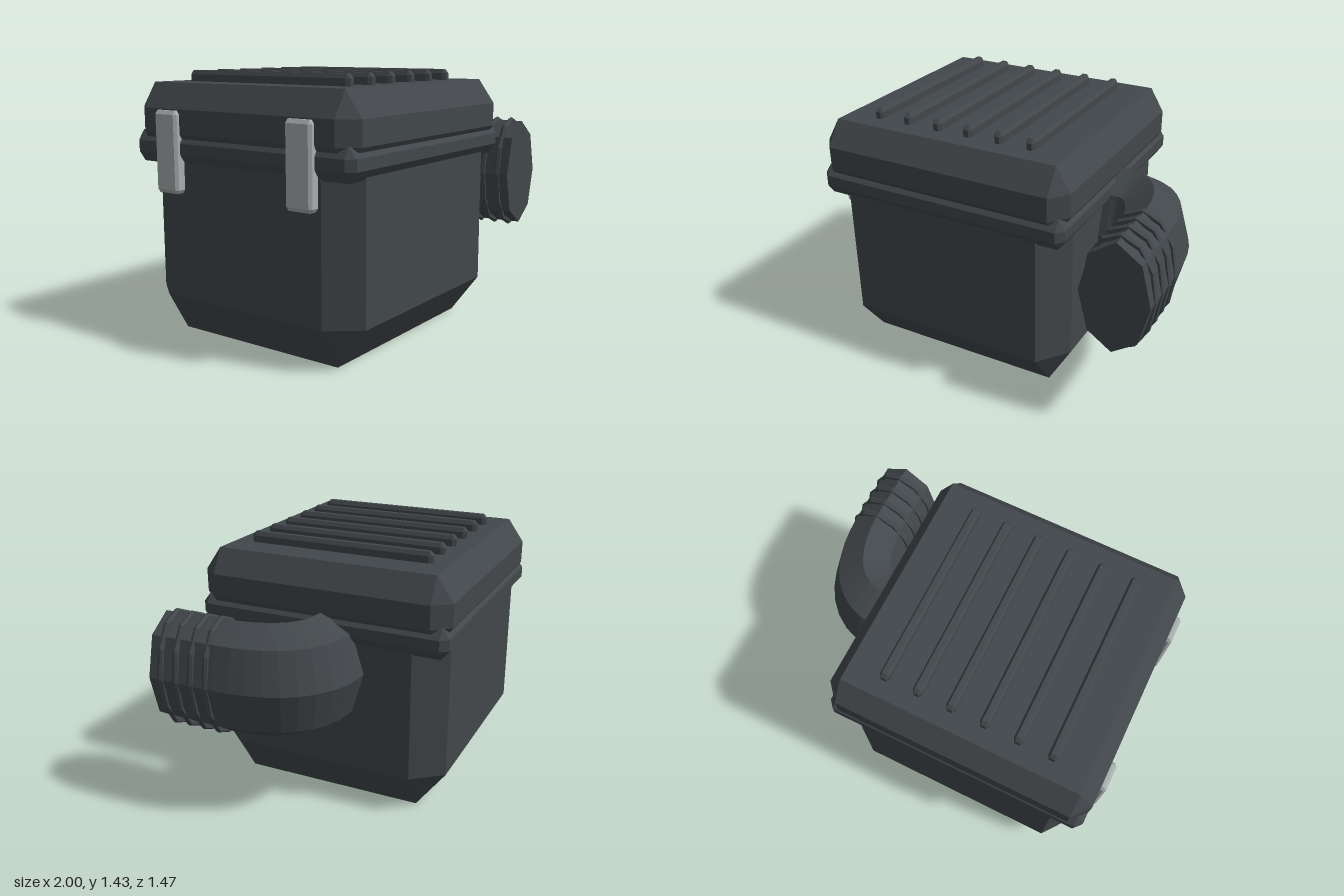
import * as THREE from 'three';
import { ConvexGeometry } from 'three/addons/geometries/ConvexGeometry.js';

const plastic = new THREE.MeshStandardMaterial({ name: 'darkPlastic', color: 0x42474b, flatShading: true });
const metal = new THREE.MeshStandardMaterial({ name: 'latchMetal', color: 0xa8adad, flatShading: true });

// Box between min and max with every edge cut off by bevel [x, y, z]
function chamferBox(name, min, max, bevel, material) {
  const c = min.map((v, i) => (v + max[i]) / 2);
  const h = min.map((v, i) => (max[i] - v) / 2);
  const points = [];
  for (const sx of [-1, 1]) for (const sy of [-1, 1]) for (const sz of [-1, 1]) {
    const s = [sx, sy, sz];
    for (let face = 0; face < 3; face++) {
      const p = s.map((sign, i) => c[i] + sign * (h[i] - (i === face ? 0 : bevel[i])));
      points.push(new THREE.Vector3(...p));
    }
  }
  const mesh = new THREE.Mesh(new ConvexGeometry(points), material);
  mesh.name = name;
  return mesh;
}

// Eight-sided oval hose swept along a bend and a straight outlet
function hoseGeometry() {
  const sides = 8, y = 0.797, rings = [];
  const addRing = (x, z, tx, tz, r, ry) => {
    const ring = [];
    for (let j = 0; j < sides; j++) {
      const a = (j / sides) * Math.PI * 2;
      ring.push([x + tz * r * Math.cos(a), y + ry * Math.sin(a), z - tx * r * Math.cos(a)]);
    }
    rings.push(ring);
  };
  addRing(0.42, -0.035, 1, 0, 0.235, 0.32);
  const bend = new THREE.QuadraticBezierCurve(
    new THREE.Vector2(0.53, -0.035), new THREE.Vector2(0.78, -0.03), new THREE.Vector2(0.803, 0.36));
  const steps = 9;
  for (let i = 0; i <= steps; i++) {
    const t = i / steps, p = bend.getPoint(t), d = bend.getTangent(t);
    addRing(p.x, p.y, d.x, d.y, 0.235 - 0.045 * t, 0.32);
  }
  addRing(0.8, 0.73, 0, 1, 0.19, 0.313);

  const pos = [];
  for (let i = 0; i < rings.length - 1; i++) {
    for (let j = 0; j < sides; j++) {
      const k = (j + 1) % sides;
      const a = rings[i][j], b = rings[i][k], c = rings[i + 1][k], d = rings[i + 1][j];
      pos.push(...a, ...b, ...c, ...a, ...c, ...d);
    }
  }
  // Closed outlet end
  const end = rings[rings.length - 1];
  for (let j = 0; j < sides; j++) pos.push(0.8, y, 0.73, ...end[j], ...end[(j + 1) % sides]);

  const geometry = new THREE.BufferGeometry();
  geometry.setAttribute('position', new THREE.Float32BufferAttribute(pos, 3));
  geometry.computeVertexNormals();
  return geometry;
}

export function createModel() {
  const model = new THREE.Group();
  model.name = 'filterHousing';

  // Housing: lower box, sealing rim and lid
  model.add(
    chamferBox('lowerBox', [-0.94, 0, -0.705], [0.48, 1.2, 0.685], [0.13, 0.225, 0.168], plastic),
    chamferBox('rim', [-0.97, 0.95, -0.735], [0.51, 1.12, 0.715], [0.037, 0.055, 0.042], plastic),
    chamferBox('lid', [-0.97, 0.98, -0.735], [0.51, 1.375, 0.715], [0.08, 0.133, 0.095], plastic),
  );

  // Ribs on top of the lid
  const ribs = new THREE.Group();
  ribs.name = 'lidRibs';
  for (let i = 0; i < 6; i++) {
    const x = -0.695 + i * 0.185;
    ribs.add(chamferBox('lidRib', [x - 0.026, 1.33, -0.55], [x + 0.026, 1.435, 0.52], [0.012, 0.022, 0.02], plastic));
  }
  model.add(ribs);

  // Latches on the right side
  for (const z of [-0.458, 0.425]) {
    model.add(chamferBox('latch', [-1, 0.8, z - 0.079], [-0.93, 1.235, z + 0.079], [0.014, 0.02, 0.014], metal));
  }

  // Intake hose with four clamping rings
  const hose = new THREE.Mesh(hoseGeometry(), plastic);
  hose.name = 'intakeHose';
  model.add(hose);
  const ringGeometry = new THREE.TorusGeometry(0.316, 0.019, 6, 12);
  for (const z of [0.385, 0.475, 0.567, 0.66]) {
    const ring = new THREE.Mesh(ringGeometry, plastic);
    ring.name = 'hoseRing';
    ring.scale.x = 0.6;
    ring.position.set(0.799, 0.797, z);
    model.add(ring);
  }
  return model;
}
